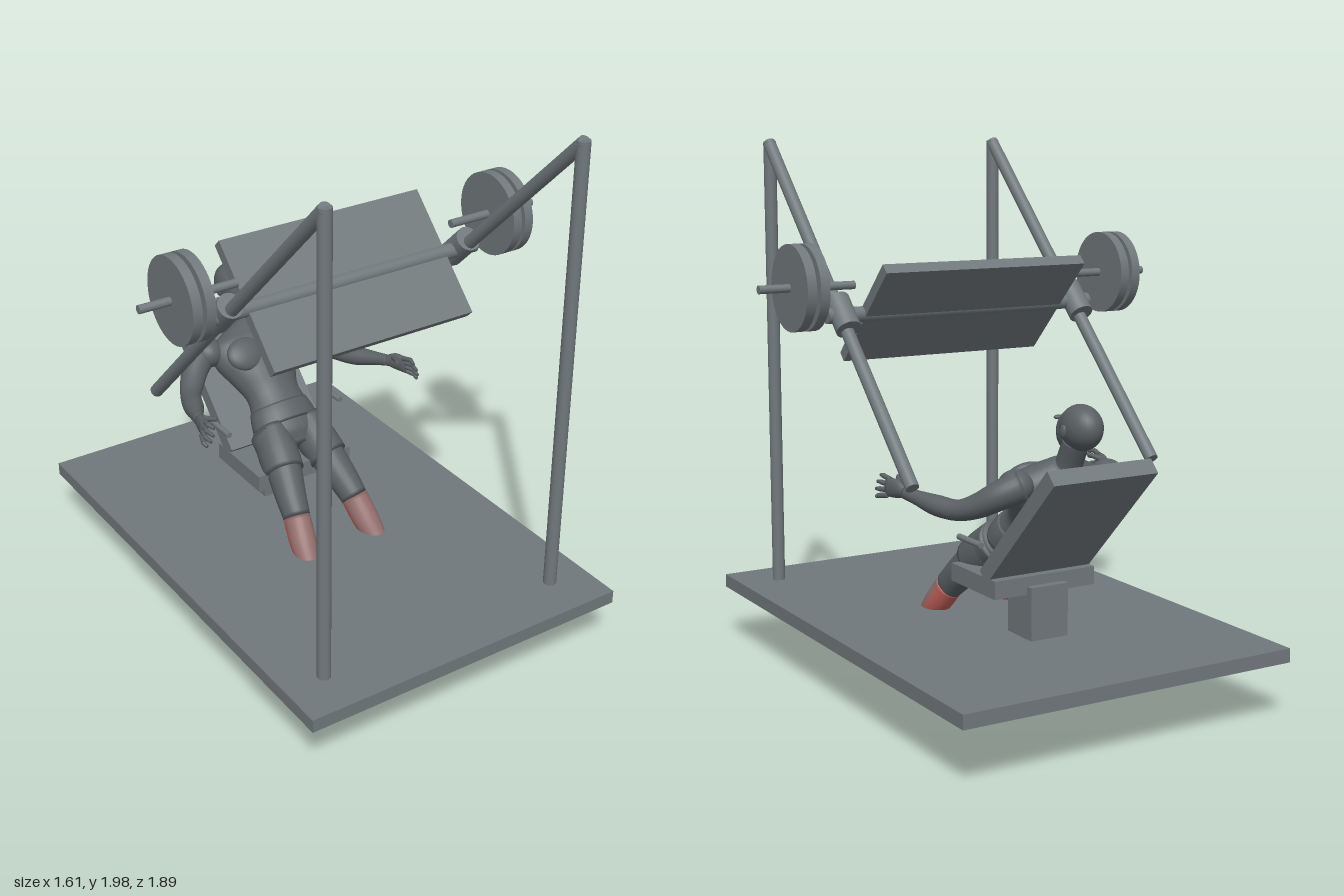
import * as THREE from 'three';

const mat = (name, hex) => {
  const m = new THREE.MeshStandardMaterial({ color: hex });
  m.name = name;
  return m;
};
const V = (x, y, z) => new THREE.Vector3(x, y, z);

// Smooth elliptical tube through sections [x, y, z, halfWidth, halfDepth].
// Group 0 is the upper/front side, group 1 the back side.
function loft(sections, steps = 24, sides = 24) {
  const path = new THREE.CatmullRomCurve3(sections.map(s => V(s[0], s[1], s[2])), false, 'catmullrom');
  const radii = new THREE.CatmullRomCurve3(sections.map(s => V(s[3], s[4], 0)), false, 'catmullrom');
  const pos = [], front = [], back = [];
  for (let i = 0; i <= steps; i++) {
    const p = path.getPoint(i / steps), r = radii.getPoint(i / steps), t = path.getTangent(i / steps);
    const w = V(1, 0, 0).addScaledVector(t, -t.x).normalize();
    const d = t.clone().cross(w);
    for (let j = 0; j < sides; j++) {
      const a = (j / sides) * Math.PI * 2;
      const q = p.clone().addScaledVector(w, r.x * Math.cos(a)).addScaledVector(d, r.y * Math.sin(a));
      pos.push(q.x, q.y, q.z);
    }
  }
  for (let i = 0; i < steps; i++) {
    for (let j = 0; j < sides; j++) {
      const k = (j + 1) % sides, a = i * sides + j, b = i * sides + k;
      (j < sides / 2 ? front : back).push(a, b, a + sides, b, b + sides, a + sides);
    }
  }
  // end caps
  const first = sections[0], last = sections[sections.length - 1];
  const c0 = pos.length / 3, base = steps * sides;
  pos.push(first[0], first[1], first[2], last[0], last[1], last[2]);
  for (let j = 0; j < sides; j++) {
    const k = (j + 1) % sides;
    back.push(c0, k, j, c0 + 1, base + j, base + k);
  }
  const g = new THREE.BufferGeometry();
  g.setAttribute('position', new THREE.Float32BufferAttribute(pos, 3));
  g.setIndex([...front, ...back]);
  g.addGroup(0, front.length, 0);
  g.addGroup(front.length, back.length, 1);
  g.computeVertexNormals();
  return g;
}

export function createModel() {
  const model = new THREE.Group();
  const grey = mat('equipmentGrey', 0x70787b);
  const skin = mat('bodyGrey', 0x5a6063);
  const shinFront = mat('shinDullRed', 0x946f6d);
  const shinBack = mat('calfRed', 0xc25f58);

  const add = (name, geo, m, parent = model) => {
    const mesh = new THREE.Mesh(geo, m);
    mesh.name = name;
    parent.add(mesh);
    return mesh;
  };
  const box = (name, w, h, d, x, y, z, rx = 0) => {
    const m = add(name, new THREE.BoxGeometry(w, h, d), grey);
    m.position.set(x, y, z);
    m.rotation.x = rx;
    return m;
  };
  const rod = (name, a, b, r, m = grey, r2 = r, parent = model) => {
    const dir = b.clone().sub(a);
    const mesh = add(name, new THREE.CylinderGeometry(r2, r, dir.length(), 24), m, parent);
    mesh.position.copy(a).add(b).multiplyScalar(0.5);
    mesh.quaternion.setFromUnitVectors(V(0, 1, 0), dir.normalize());
    return mesh;
  };

  // Floor plate and bench
  box('floorPlate', 1.29, 0.05, 1.89, 0, 0.26, 0);
  box('benchPost', 0.15, 0.19, 0.155, 0, 0.38, -0.352);
  box('seat', 0.41, 0.065, 0.3, 0, 0.4775, -0.25);
  box('backrest', 0.41, 0.603, 0.06, 0, 0.719, -0.533, -Math.PI / 4);

  // Sliding foot plate with its cross bar
  box('footPlate', 0.82, 0.49, 0.041, 0, 1.385, 0.17, -Math.PI / 4);
  rod('crossBar', V(-0.55, 1.385, 0.175), V(0.55, 1.385, 0.175), 0.028);

  // Frame, carriage and weights on each side
  for (const s of [-1, 1]) {
    const x = 0.49 * s;
    rod('post', V(x, 0.28, 0.775), V(x, 1.985, 0.775), 0.024);
    rod('slantedRail', V(x, 1.98, 0.78), V(x, 0.857, -0.343), 0.024);
    rod('railSleeve', V(x, 1.34, 0.12), V(x, 1.436, 0.216), 0.046);
    rod('weightPeg', V(0.44 * s, 1.49, 0.175), V(0.805 * s, 1.49, 0.175), 0.015);
    for (const w of [0.622, 0.672]) {
      const disc = add('weightDisc', new THREE.CylinderGeometry(0.153, 0.153, 0.035, 48), grey);
      disc.rotation.z = Math.PI / 2;
      disc.position.set(w * s, 1.49, 0.175);
    }
    rod('seatHandle', V(0.25 * s, 0.64, -0.235), V(0.25 * s, 0.64, -0.385), 0.011);
  }

  // Reclining figure
  const figure = new THREE.Group();
  figure.name = 'figure';
  model.add(figure);
  const body = (name, sections, m = skin, steps = 24) => add(name, loft(sections, steps), Array.isArray(m) ? m : [m, m], figure);
  const blob = (name, x, y, z, rx, ry, rz, tilt = 0) => {
    const m = add(name, new THREE.SphereGeometry(1, 28, 20), skin, figure);
    m.position.set(x, y, z);
    m.scale.set(rx, ry, rz);
    m.rotation.x = tilt;
  };

  body('torso', [
    [0, 0.925, -0.545, 0.05, 0.045], [0, 0.898, -0.522, 0.115, 0.065], [0, 0.865, -0.495, 0.178, 0.085],
    [0, 0.81, -0.445, 0.172, 0.098], [0, 0.76, -0.39, 0.138, 0.093], [0, 0.7, -0.325, 0.108, 0.08],
    [0, 0.63, -0.255, 0.13, 0.088], [0, 0.575, -0.205, 0.14, 0.088], [0, 0.54, -0.165, 0.09, 0.06],
  ], skin, 40);
  body('waistband', [[0, 0.668, -0.29, 0.119, 0.086], [0, 0.642, -0.266, 0.13, 0.092], [0, 0.61, -0.237, 0.137, 0.093]], skin, 8);
  body('neck', [[0, 0.87, -0.52, 0.06, 0.055], [0, 0.93, -0.545, 0.049, 0.046], [0, 1.01, -0.585, 0.047, 0.046]]);

  // Head
  blob('skull', 0, 1.06, -0.615, 0.066, 0.078, 0.09);
  blob('face', 0, 1.043, -0.557, 0.052, 0.074, 0.055, -0.2);
  blob('jaw', 0, 1.0, -0.542, 0.036, 0.026, 0.038, -0.2);
  blob('nose', 0, 1.056, -0.506, 0.011, 0.022, 0.014, -0.3);
  blob('lips', 0, 1.024, -0.51, 0.018, 0.008, 0.01);

  for (const s of [-1, 1]) {
    const side = rows => rows.map(([x, ...rest]) => [x * s, ...rest]);
    blob('ear', 0.067 * s, 1.05, -0.605, 0.009, 0.024, 0.016, -0.2);
    blob('brow', 0.024 * s, 1.083, -0.515, 0.02, 0.008, 0.012);
    blob('chestMuscle', 0.078 * s, 0.868, -0.393, 0.078, 0.065, 0.03, -0.75);
    blob('shoulder', 0.185 * s, 0.858, -0.5, 0.06, 0.058, 0.065);

    // Arm and hand
    body('arm', side([
      [0.17, 0.865, -0.52, 0.055, 0.055], [0.24, 0.83, -0.485, 0.053, 0.05], [0.295, 0.79, -0.43, 0.046, 0.042],
      [0.335, 0.77, -0.37, 0.039, 0.036], [0.368, 0.775, -0.29, 0.038, 0.036], [0.4, 0.79, -0.21, 0.026, 0.026],
      [0.42, 0.8, -0.155, 0.02, 0.022],
    ]), skin, 32);
    body('palm', side([[0.418, 0.8, -0.16, 0.019, 0.02], [0.432, 0.808, -0.12, 0.018, 0.033], [0.445, 0.808, -0.075, 0.014, 0.034]]), skin, 10);
    for (let f = 0; f < 4; f++) {
      const y = 0.835 - f * 0.018;
      const a = V((0.438 + f * 0.004) * s, y, -0.085);
      const b = V((0.445 + f * 0.007) * s, y + 0.008 - f * 0.005, -0.045);
      const c = V((0.438 + f * 0.008) * s, y + 0.004 - f * 0.006, [-0.015, -0.005, -0.008, -0.025][f]);
      rod('finger', a, b, 0.0095, skin, 0.009, figure);
      rod('fingertip', b, c, 0.009, skin, 0.006, figure);
    }
    rod('thumb', V(0.425 * s, 0.825, -0.125), V(0.397 * s, 0.84, -0.065), 0.012, skin, 0.007, figure);

    // Leg
    body('thigh', side([
      [0.085, 0.6, -0.225, 0.07, 0.08], [0.09, 0.545, -0.145, 0.072, 0.076], [0.1, 0.5, -0.085, 0.066, 0.07],
      [0.118, 0.44, -0.015, 0.058, 0.061], [0.13, 0.385, 0.045, 0.05, 0.055],
    ]));
    body('shortsLeg', side([
      [0.078, 0.61, -0.23, 0.065, 0.08], [0.088, 0.555, -0.155, 0.077, 0.083], [0.1, 0.505, -0.088, 0.076, 0.079],
    ]), skin, 12);
    body('shin', side([
      [0.13, 0.386, 0.044, 0.05, 0.055], [0.143, 0.31, 0.11, 0.05, 0.051],
      [0.155, 0.24, 0.178, 0.037, 0.038], [0.163, 0.165, 0.25, 0.027, 0.03],
    ]), [shinFront, shinBack]);

    // Foot with toes
    body('heel', side([
      [0.163, 0.166, 0.249, 0.027, 0.03], [0.165, 0.11, 0.287, 0.029, 0.034],
      [0.167, 0.055, 0.31, 0.03, 0.035], [0.168, 0.025, 0.316, 0.017, 0.02],
    ]), skin, 14);
    body('foot', side([
      [0.167, 0.04, 0.3, 0.022, 0.022], [0.169, 0.073, 0.338, 0.029, 0.036],
      [0.173, 0.105, 0.39, 0.034, 0.024], [0.176, 0.133, 0.435, 0.036, 0.013],
    ]), skin, 16);
    for (let t = 0; t < 5; t++) {
      const x = (0.149 + t * 0.0135) * s, r = t === 0 ? 0.011 : 0.008;
      rod('toe', V(x, 0.128, 0.425), V(x, 0.152 - t * 0.004, 0.462 - t * 0.006), r, skin, r * 0.7, figure);
    }
  }
  return model;
}
